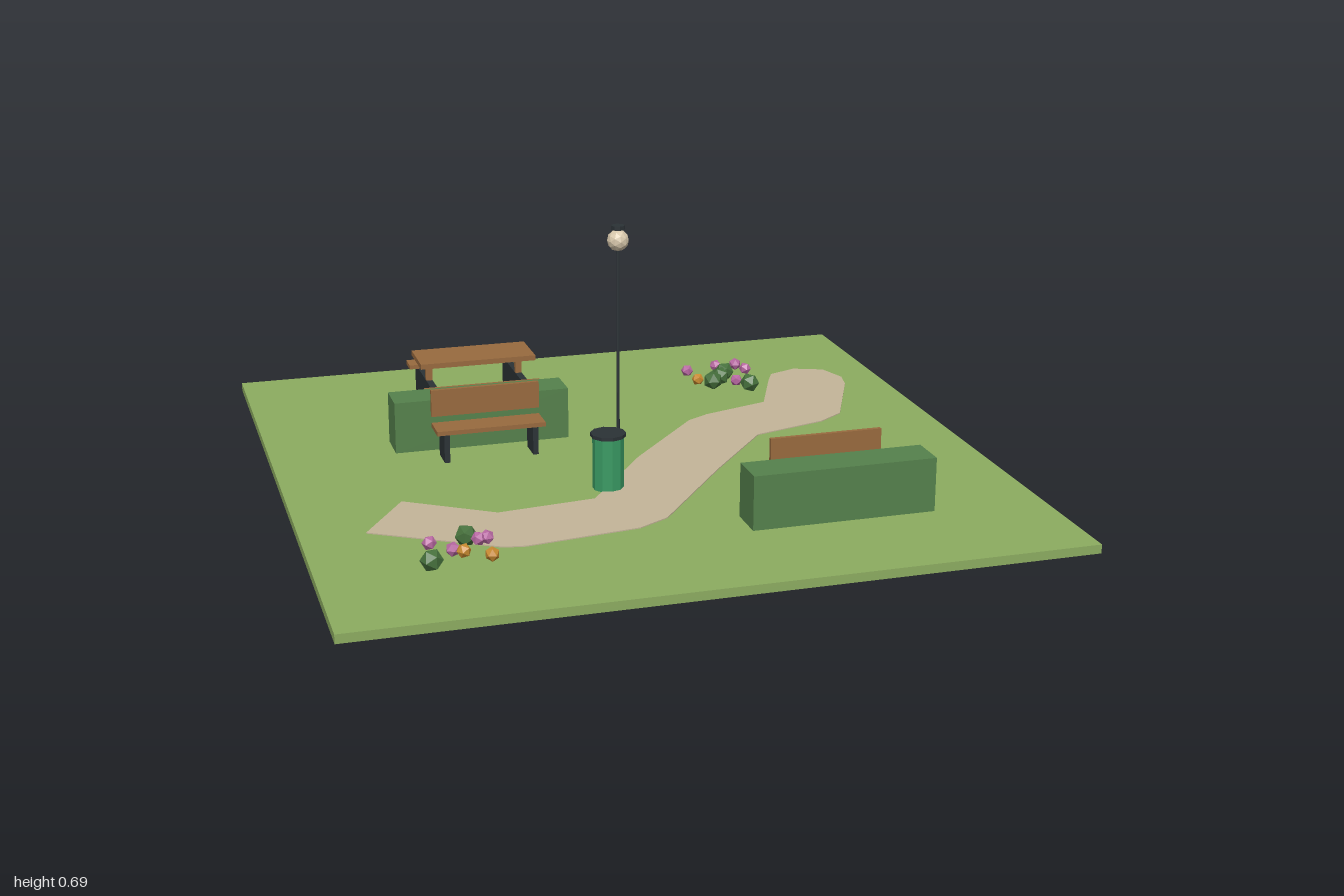
import * as THREE from 'three';

const mat = (name, color) => {
  const m = new THREE.MeshStandardMaterial({ color, flatShading: true });
  m.name = name;
  return m;
};

export function createModel() {
  const grass = mat('grass', 0x8cac60), sand = mat('sand', 0xc4b599);
  const hedgeGreen = mat('hedge green', 0x55814c), wood = mat('wood', 0x986a3e);
  const metal = mat('dark metal', 0x2b3236), binGreen = mat('bin green', 0x3a9a63);
  const glow = mat('lamp glass', 0xd8c8ac), pink = mat('pink petals', 0xb868a2);
  const orange = mat('orange petals', 0xc88a30), leaf = mat('bush green', 0x46703c);

  const G = 0.025; // lawn surface height
  const park = new THREE.Group();
  park.name = 'park';

  const add = (parent, name, geo, material, x = 0, y = 0, z = 0) => {
    const mesh = new THREE.Mesh(geo, material);
    mesh.name = name;
    mesh.position.set(x, y, z);
    parent.add(mesh);
    return mesh;
  };
  // Box given by its centre in x and z and its bottom and top heights
  const box = (parent, name, material, x, z, w, d, y0, y1) =>
    add(parent, name, new THREE.BoxGeometry(w, y1 - y0, d), material, x, (y0 + y1) / 2, z);
  const group = (name, x, z, turn = 0) => {
    const g = new THREE.Group();
    g.name = name;
    g.position.set(x, 0, z);
    g.rotation.y = turn;
    park.add(g);
    return g;
  };

  box(park, 'lawn', grass, 0, 0, 2, 2, 0, G);

  // Winding path, a thin plate lying on the lawn
  const outline = [
    [-0.695, 0.195], [-0.825, 0.395], [-0.5, 0.59], [-0.44, 0.6], [-0.12, 0.56], [-0.03, 0.51],
    [0.22, 0.19], [0.43, -0.06], [0.66, -0.125], [0.74, -0.18], [0.865, -0.45], [0.88, -0.52],
    [0.85, -0.61], [0.76, -0.645], [0.67, -0.61], [0.64, -0.55], [0.55, -0.345], [0.34, -0.28],
    [0.27, -0.24], [0.03, 0.03], [-0.18, 0.32], [-0.46, 0.35],
  ].map(([x, z]) => new THREE.Vector2(x, -z));
  const pathGeo = new THREE.ExtrudeGeometry(new THREE.Shape(outline), { depth: 0.003, bevelEnabled: false });
  pathGeo.rotateX(-Math.PI / 2);
  add(park, 'path', pathGeo, sand, 0, G, 0);

  // Hedges
  box(park, 'hedge', hedgeGreen, -0.38, -0.255, 0.52, 0.11, G, 0.178);
  box(park, 'hedge', hedgeGreen, 0.42, 0.605, 0.52, 0.11, G, 0.178);

  // Benches, each with its back to a hedge
  const bench = (x, z, turn) => {
    const b = group('bench', x, z, turn);
    box(b, 'seat', wood, 0, 0, 0.32, 0.086, 0.11, 0.123);
    box(b, 'backrest', wood, 0, -0.044, 0.32, 0.012, 0.142, 0.222);
    for (const s of [-1, 1]) box(b, 'leg', metal, s * 0.131, 0, 0.016, 0.076, G, 0.11);
  };
  bench(-0.38, -0.117, 0);
  bench(0.42, 0.462, Math.PI);

  // Picnic table with a bench on each side
  const table = group('picnicTable', -0.32, -0.604);
  box(table, 'tableTop', wood, 0, 0, 0.36, 0.156, 0.17, 0.186);
  for (const s of [-1, 1]) {
    box(table, 'tableBench', wood, 0, s * 0.15, 0.36, 0.06, 0.111, 0.124);
    box(table, 'sideFrame', metal, s * 0.142, 0, 0.02, 0.355, G, 0.111);
    box(table, 'post', wood, s * 0.142, 0, 0.02, 0.016, 0.111, 0.17);
  }

  // Litter bin
  const bin = group('litterBin', -0.12, 0.24);
  add(bin, 'binBody', new THREE.CylinderGeometry(0.044, 0.044, 0.152, 10), binGreen, 0, G + 0.076, 0);
  add(bin, 'binLid', new THREE.CylinderGeometry(0.05, 0.05, 0.01, 10), metal, 0, 0.182, 0);

  // Street lamp
  const lamp = group('streetLamp', 0, -0.08);
  add(lamp, 'lampBase', new THREE.CylinderGeometry(0.01, 0.012, 0.03, 8), metal, 0, G + 0.015, 0);
  add(lamp, 'lampPole', new THREE.CylinderGeometry(0.005, 0.005, 0.6, 8), metal, 0, G + 0.3, 0);
  add(lamp, 'lampGlobe', new THREE.IcosahedronGeometry(0.032, 1), glow, 0, 0.65, 0);
  add(lamp, 'lampCap', new THREE.CylinderGeometry(0.02, 0.02, 0.012, 8), metal, 0, 0.688, 0);

  // Flower beds: small faceted blooms and bushes
  const plants = (name, material, radius, y, spots) => {
    const geo = new THREE.IcosahedronGeometry(radius, 0);
    spots.forEach(([x, z], i) => {
      add(park, name, geo, material, x, y, z).rotation.y = i * 0.7;
    });
  };
  plants('bush', leaf, 0.031, 0.05, [
    [0.51, -0.615], [0.48, -0.57], [0.445, -0.535], [0.55, -0.48], [-0.588, 0.54], [-0.705, 0.68],
  ]);
  plants('pinkFlower', pink, 0.02, 0.052, [
    [0.395, -0.65], [0.5, -0.675], [0.567, -0.675], [0.583, -0.62], [0.515, -0.51],
    [-0.69, 0.57], [-0.64, 0.628], [-0.538, 0.57], [-0.562, 0.575],
  ]);
  plants('orangeFlower', orange, 0.02, 0.052, [[0.4, -0.553], [-0.615, 0.645], [-0.55, 0.687]]);

  return park;
}
